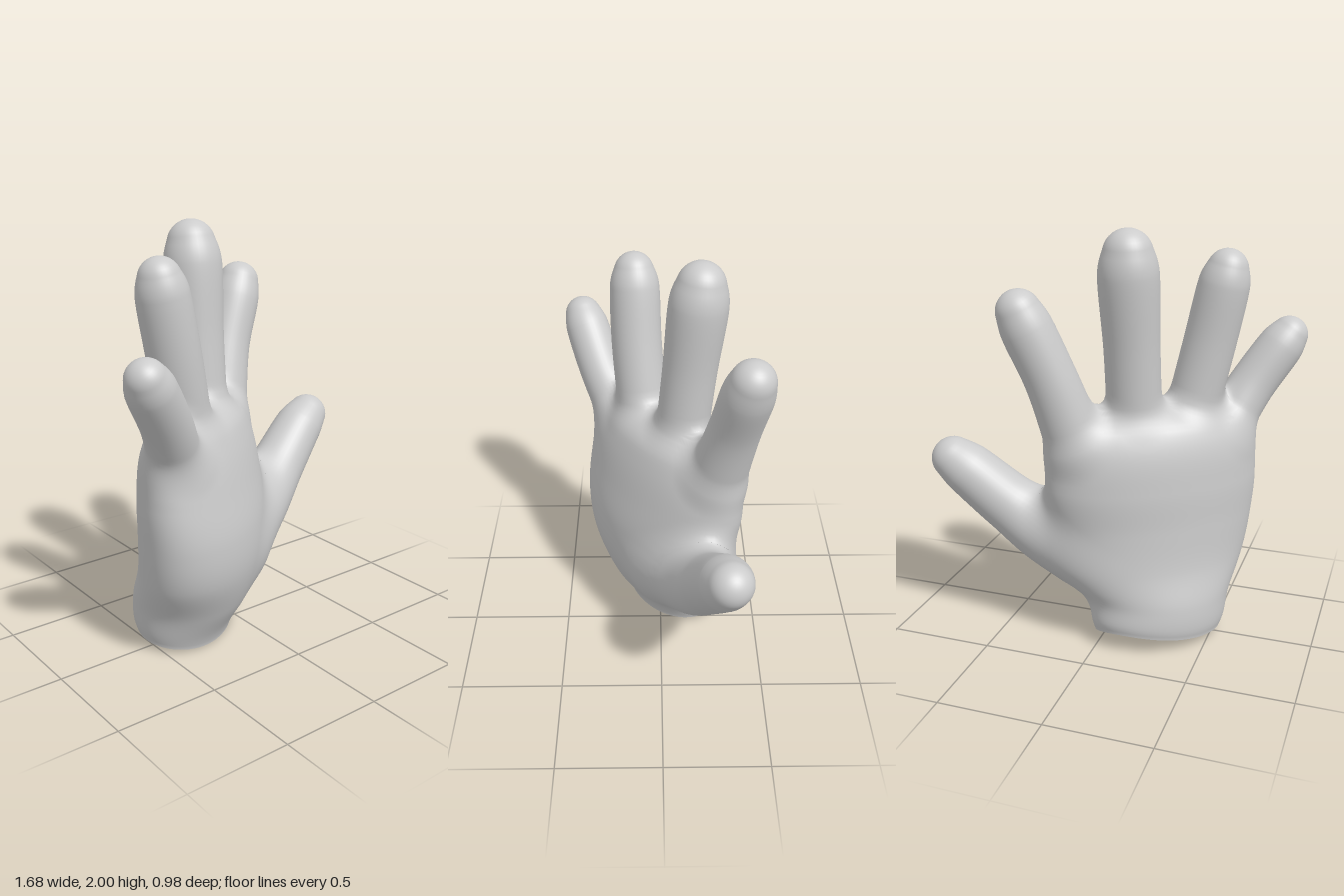
import * as THREE from 'three';

const material = new THREE.MeshStandardMaterial({ color: 0xcccccc, roughness: 0.7 });
const V = (x, y, z) => new THREE.Vector3(x, y, z);

// The hand is turned about y: ACROSS runs over the knuckles, OUT points out of the palm.
const ACROSS = V(0.8, 0, -0.6), OUT = V(0.6, 0, 0.8);
const TOP = 1.18;

// Elliptical palm sections by height: centre x, centre z, half width, half thickness
const heights = [0, 0.05, 0.2, 0.4, 0.6, 0.8, 1.0, 1.1, TOP];
const sections = new THREE.CubicInterpolant(heights, [
  -0.25, -0.095, 0.32, 0.225,
  -0.25, -0.09, 0.335, 0.24,
  -0.235, -0.045, 0.362, 0.278,
  -0.19, -0.012, 0.477, 0.286,
  -0.19, 0, 0.512, 0.28,
  -0.19, -0.02, 0.532, 0.26,
  -0.195, -0.033, 0.505, 0.222,
  -0.195, -0.033, 0.43, 0.18,
  -0.195, -0.03, 0.31, 0.12,
], 4);
const sectionAt = (y) => sections.evaluate(THREE.MathUtils.clamp(y, 0, TOP));

// Digits: centre line points [x, y, z, radius] and the width of the blend into the palm
const digits = [
  { name: 'littleFinger', blend: 0.08, line: [[-0.475, 0.98, 0.19, 0.125], [-0.588, 1.2, 0.298, 0.114], [-0.71, 1.392, 0.373, 0.11], [-0.748, 1.45, 0.395, 0.091]] },
  { name: 'ringFinger', blend: 0.07, line: [[-0.335, 1.05, 0.08, 0.125], [-0.422, 1.45, 0.113, 0.124], [-0.478, 1.72, 0.12, 0.12], [-0.493, 1.793, 0.122, 0.097]] },
  { name: 'middleFinger', blend: 0.07, line: [[-0.125, 1.05, -0.1, 0.13], [-0.12, 1.45, -0.138, 0.13], [-0.113, 1.79, -0.173, 0.139], [-0.113, 1.885, -0.183, 0.115]] },
  { name: 'indexFinger', blend: 0.08, line: [[0.11, 1.02, -0.27, 0.14], [0.2, 1.33, -0.332, 0.122], [0.292, 1.56, -0.372, 0.12], [0.325, 1.642, -0.387, 0.103]] },
  { name: 'thumb', blend: 0.14, line: [[0.02, 0.38, -0.08, 0.2], [0.25, 0.49, -0.165, 0.18], [0.455, 0.64, -0.225, 0.147], [0.66, 0.822, -0.28, 0.128], [0.735, 0.88, -0.295, 0.106]] },
];
const STEPS = 40;
for (const d of digits) {
  d.curve = new THREE.CatmullRomCurve3(d.line.map(([x, y, z]) => V(x, y, z)));
  d.centres = d.curve.getPoints(STEPS);
  d.radii = new THREE.CatmullRomCurve3(d.line.map((p) => V(p[3], 0, 0)), false, 'catmullrom')
    .getPoints(STEPS).map((p) => p.x);
}

const smoothMin = (a, b, k) => {
  const h = Math.max(k - Math.abs(a - b), 0) / k;
  return Math.min(a, b) - h * h * k / 4;
};

// Signed distance to the palm, with a softly rounded top
function palmDistance(p) {
  const [cx, cz, a, b] = sectionAt(p.y);
  const dx = p.x - cx, dz = p.z - cz;
  const u = (dx * ACROSS.x + dz * ACROSS.z) / a;
  const v = (dx * OUT.x + dz * OUT.z) / b;
  const q = Math.max(Math.hypot(u, v), 1e-4);
  const slope = Math.hypot(u / q / a, v / q / b);
  const side = (q - 1) / Math.max(slope, 1e-3);
  return -smoothMin(-side, TOP - p.y, 0.12);
}

// Signed distance to a tapering digit
function digitDistance({ centres, radii }, p) {
  let best = Infinity;
  for (let i = 0; i < STEPS; i++) {
    const a = centres[i], b = centres[i + 1];
    const ex = b.x - a.x, ey = b.y - a.y, ez = b.z - a.z;
    const px = p.x - a.x, py = p.y - a.y, pz = p.z - a.z;
    const t = Math.min(1, Math.max(0, (px * ex + py * ey + pz * ez) / (ex * ex + ey * ey + ez * ez)));
    const x = px - t * ex, y = py - t * ey, z = pz - t * ez;
    best = Math.min(best, Math.sqrt(x * x + y * y + z * z) - radii[i] - t * (radii[i + 1] - radii[i]));
  }
  return best;
}

// The whole hand with soft webs between the parts
const handDistance = (p) =>
  digits.reduce((f, d) => smoothMin(f, digitDistance(d, p), d.blend), palmDistance(p));

function gradient(p) {
  const e = 0.012, g = V(0, 0, 0), q = V(0, 0, 0);
  for (const axis of ['x', 'y', 'z']) {
    q.copy(p)[axis] += e;
    const ahead = handDistance(q);
    q[axis] -= 2 * e;
    g[axis] = (ahead - handDistance(q)) / (2 * e);
  }
  return g;
}

// Moves a point near the surface onto the blended skin; hidden points stay put
function settle(p) {
  if (handDistance(p) < -0.12) return;
  for (let i = 0; i < 8; i++) {
    const f = handDistance(p);
    if (Math.abs(f) < 0.0005) break;
    const g = gradient(p);
    p.addScaledVector(g.multiplyScalar(-f / Math.max(g.lengthSq(), 0.2)).clampLength(0, 0.05), 1);
  }
}

// The cut of the wrist curves up towards the back and the little finger side
const tilt = (p) => {
  const back = Math.max(0, 0.18 - p.z) / 0.54, side = Math.max(0, -0.2 - p.x) / 0.35;
  p.y += Math.max(0, 1 - p.y / 0.3) * (0.1 * back ** 3 + 0.04 * side ** 2);
};

// Skins a list of closed rings with equal point counts
function skin(name, rings, blended) {
  const n = rings[0].length, points = rings.flat(), normals = [], index = [];
  for (const p of points) {
    if (blended) {
      settle(p);
      normals.push(...gradient(p).normalize().toArray());
    }
    tilt(p);
  }
  for (let i = 0; i < rings.length - 1; i++) {
    for (let j = 0; j < n; j++) {
      const a = i * n + j, b = i * n + (j + 1) % n;
      index.push(a, b, a + n, b, b + n, a + n);
    }
  }
  const geometry = new THREE.BufferGeometry().setFromPoints(points);
  geometry.setIndex(index);
  if (blended) geometry.setAttribute('normal', new THREE.Float32BufferAttribute(normals, 3));
  else geometry.computeVertexNormals();
  const mesh = new THREE.Mesh(geometry, material);
  mesh.name = name;
  return mesh;
}

const ring = (n, place) => Array.from({ length: n }, (_, j) => place(2 * Math.PI * j / n));

function palmRing(y, scale = 1) {
  const [cx, cz, a, b] = sectionAt(y);
  return ring(96, (t) => V(cx, y, cz)
    .addScaledVector(OUT, scale * b * Math.cos(t))
    .addScaledVector(ACROSS, scale * a * Math.sin(t)));
}

function digitRing(d, step, lift) {
  const w = d.curve.getTangent(step / STEPS), r = d.radii[step];
  const u = V(0, 0, 1).cross(w).normalize(), v = w.clone().cross(u);
  const centre = d.centres[step].clone().addScaledVector(w, r * Math.sin(lift));
  const size = r * Math.cos(lift);
  return ring(36, (s) => centre.clone()
    .addScaledVector(u, size * Math.cos(s))
    .addScaledVector(v, size * Math.sin(s)));
}

export function createModel() {
  const hand = new THREE.Group();
  hand.name = 'hand';

  // Palm from the wrist to the knuckles, closed on top
  const palmRings = [];
  for (let i = 0; i <= 50; i++) palmRings.push(palmRing(TOP * i / 50));
  for (const s of [0.85, 0.7, 0.5, 0.3, 0.15, 0]) palmRings.push(palmRing(TOP, s));
  hand.add(skin('palm', palmRings, true));

  // Cut of the wrist
  hand.add(skin('wristCap', [0, 0.25, 0.5, 0.75, 1].map((s) => palmRing(0, s)), false));

  // Fingers and thumb, each with a round tip
  for (const d of digits) {
    const rings = [];
    for (let i = 0; i < STEPS; i++) rings.push(digitRing(d, i, 0));
    for (let i = 0; i <= 10; i++) rings.push(digitRing(d, STEPS, Math.PI / 2 * i / 10));
    hand.add(skin(d.name, rings, true));
  }
  return hand;
}
